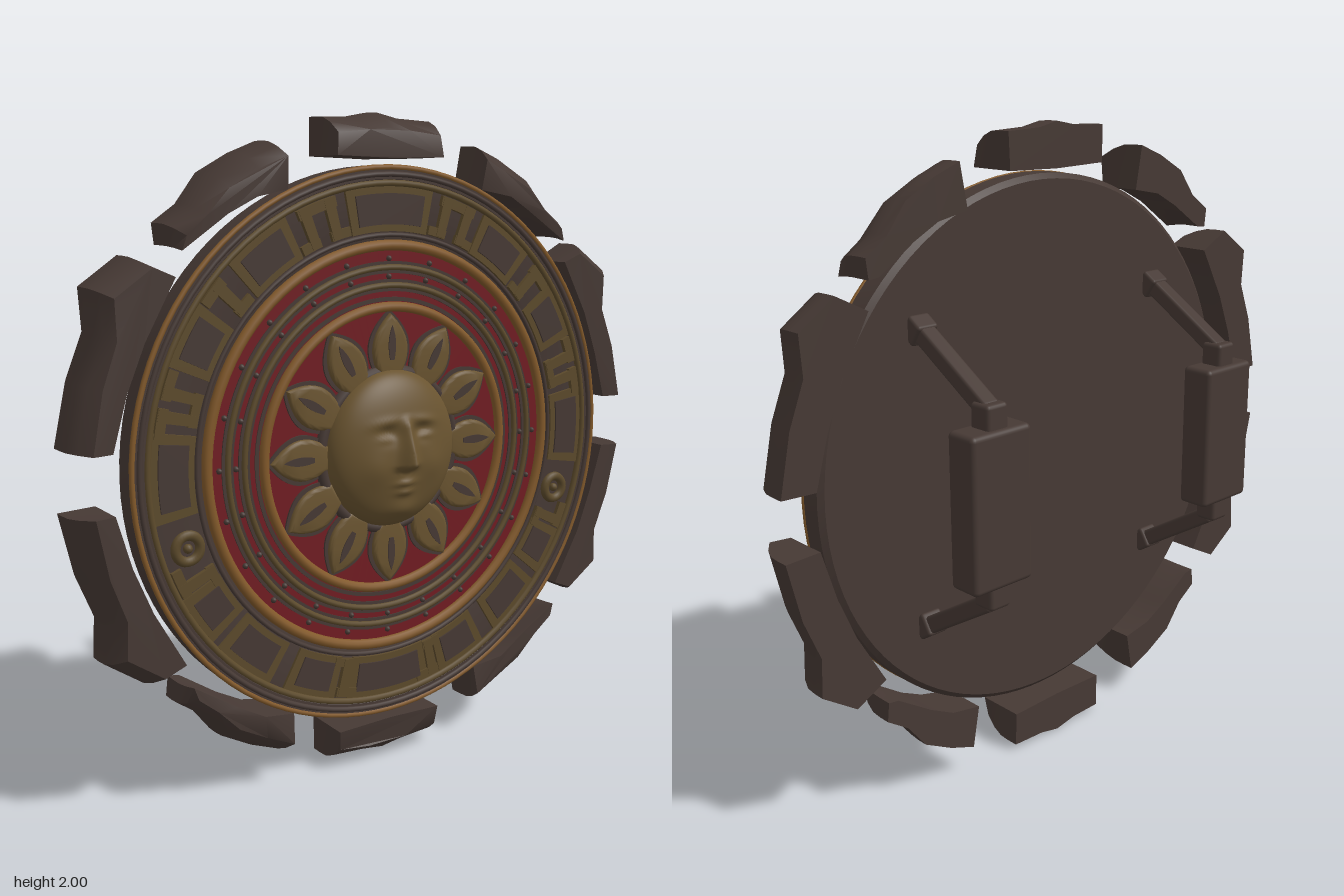
import * as THREE from 'three';
import { toCreasedNormals, mergeVertices } from 'three/addons/utils/BufferGeometryUtils.js';
import { RoundedBoxGeometry } from 'three/addons/geometries/RoundedBoxGeometry.js';

const mat = (name, color) => Object.assign(new THREE.MeshStandardMaterial({ color }), { name });
const clamp = THREE.MathUtils.clamp, rad = THREE.MathUtils.degToRad;

export function createModel() {
  const stone = mat('dark stone', 0x463934);
  const gold = mat('aged gold', 0x6a5430);
  const olive = mat('tarnished gold', 0x5c4a2b);
  const bright = mat('bright gold', 0x82592a);
  const red = mat('deep red', 0x701c22);

  const model = new THREE.Group();
  model.name = 'sunShield';
  const shield = new THREE.Group();
  shield.name = 'shield';
  shield.position.y = 1;
  model.add(shield);

  const add = (name, geo, material, parent = shield) => {
    const m = new THREE.Mesh(geo, material);
    m.name = name;
    parent.add(m);
    return m;
  };

  // Turned profile of [radius, z] points around the z axis
  const turned = (pts) => toCreasedNormals(
    new THREE.LatheGeometry(pts.map(([r, z]) => new THREE.Vector2(r, z)), 96).rotateX(Math.PI / 2), 0.5);
  const band = (name, r0, r1, z0, z1, m) =>
    add(name, turned([[r1, z0], [r1, z1], [r0, z1], [r0, z0]]), m);
  const hoop = (name, r, tube, z, m) =>
    add(name, new THREE.TorusGeometry(r, tube, 10, 96).translate(0, 0, z), m);

  // Curved slab covering part of a ring
  const arcSlab = (name, r0, r1, deg, half, z0, z1, m) => {
    const s = new THREE.Shape();
    s.absarc(0, 0, r1, rad(deg - half), rad(deg + half), false);
    s.absarc(0, 0, r0, rad(deg + half), rad(deg - half), true);
    const g = new THREE.ExtrudeGeometry(s, { depth: z1 - z0, bevelEnabled: false, curveSegments: 8 });
    return add(name, g.translate(0, 0, z0), m);
  };

  // Main disc
  add('disc', turned([[0, 0.058], [0.83, 0.058], [0.846, 0.072], [0.846, 0.135], [0.835, 0.146],
    [0.805, 0.146], [0.79, 0.134], [0.63, 0.134], [0.62, 0.13], [0.001, 0.13]]), stone);

  // Ring mouldings
  hoop('rimRing', 0.84, 0.008, 0.142, bright);
  hoop('outerFriezeRing', 0.795, 0.01, 0.142, olive);
  hoop('rimGroove', 0.82, 0.008, 0.147, stone);
  hoop('innerFriezeRing', 0.645, 0.007, 0.138, stone);
  hoop('outerSunRing', 0.615, 0.016, 0.139, bright);
  hoop('innerSunRing', 0.433, 0.015, 0.139, bright);
  band('redBand', 0.44, 0.605, 0.128, 0.135, red);
  band('redCentre', 0.2, 0.43, 0.128, 0.135, red);
  for (const r of [0.55, 0.497]) {
    band('ringShadow', r - 0.018, r + 0.018, 0.13, 0.139, stone);
    hoop('thinRing', r, 0.009, 0.14, olive);
  }
  band('redEdge', 0.45, 0.462, 0.13, 0.138, stone);

  // Small studs on the red band
  for (let i = 0; i < 24; i++) {
    const a = i * Math.PI / 12;
    for (const r of [0.576, 0.523]) {
      add('stud', new THREE.SphereGeometry(0.009, 8, 6)
        .translate(r * Math.cos(a), r * Math.sin(a), 0.137), stone);
    }
  }

  // Frieze: framed panels, [angle, half width], mirrored left to right
  const panel = (deg, half) => {
    arcSlab('panelFrame', 0.655, 0.785, deg, half, 0.13, 0.143, olive);
    arcSlab('panelInset', 0.675, 0.765, deg, half - 2.2, 0.14, 0.148, stone);
  };
  // Frieze: hooked uprights between the panels
  const hook = (deg, side) => {
    arcSlab('hookStem', 0.66, 0.78, deg, 1.3, 0.13, 0.148, olive);
    arcSlab('hookTop', 0.752, 0.782, deg + side * 1.5, 3.2, 0.13, 0.147, olive);
    arcSlab('hookFoot', 0.658, 0.685, deg - side * 1.2, 2.8, 0.13, 0.146, olive);
  };
  panel(90, 11.5);
  panel(270, 11.5);
  for (const s of [1, -1]) {
    const at = (d) => s > 0 ? d : 180 - d;
    [[55, 8], [30, 7], [0, 9.5], [-33, 6], [-49, 8], [-68, 7]].forEach(([d, h]) => panel(at(d), h));
    [74, 67.5, 42, 18, 13, -25, -77].forEach((d, i) => hook(at(d), i % 2 ? s : -s));
    const a = rad(at(-17));
    const x = 0.71 * Math.cos(a), y = 0.71 * Math.sin(a);
    add('roundel', new THREE.TorusGeometry(0.038, 0.015, 8, 28).translate(x, y, 0.138), olive);
    add('roundelBoss', new THREE.SphereGeometry(0.014, 12, 8).translate(x, y, 0.138), olive);
  }

  // Sun petals
  const leaf = (y0, y1, w) => {
    const s = new THREE.Shape(), h = y1 - y0;
    s.moveTo(-w * 0.55, y0);
    s.bezierCurveTo(-w * 1.2, y0 + h * 0.35, -w * 1.2, y0 + h * 0.65, 0, y1);
    s.bezierCurveTo(w * 1.2, y0 + h * 0.65, w * 1.2, y0 + h * 0.35, w * 0.55, y0);
    s.closePath();
    return s;
  };
  const petalGeo = toCreasedNormals(new THREE.ExtrudeGeometry(leaf(0.23, 0.405, 0.056), {
    depth: 0.008, bevelThickness: 0.01, bevelSize: 0.012, bevelOffset: -0.005, bevelSegments: 3, curveSegments: 10,
  }).translate(0, 0, 0.138), 0.9);
  const backGeo = new THREE.ExtrudeGeometry(leaf(0.22, 0.425, 0.076), { depth: 0.011, bevelEnabled: false })
    .translate(0, 0, 0.13);
  const slitGeo = new THREE.ExtrudeGeometry(leaf(0.275, 0.378, 0.013), { depth: 0.008, bevelEnabled: false })
    .translate(0, 0, 0.151);
  for (let i = 0; i < 12; i++) {
    const petal = new THREE.Group();
    petal.name = 'petal';
    petal.rotation.z = i * Math.PI / 6;
    add('petalBorder', backGeo, stone, petal);
    add('petalLeaf', petalGeo, gold, petal);
    add('petalSlit', slitGeo, stone, petal);
    shield.add(petal);
  }
  hoop('faceCollar', 0.242, 0.018, 0.137, stone);

  // Face: a dome with nose, brows, eye hollows, lips and chin raised by rule
  let face = new THREE.RingGeometry(0, 1, 80, 44);
  face.deleteAttribute('uv');
  face.deleteAttribute('normal');
  face = mergeVertices(face);
  const bump = (x, y, cx, cy, sx, sy) => Math.exp(-(((x - cx) / sx) ** 2) - ((y - cy) / sy) ** 2);
  const p = face.attributes.position;
  for (let i = 0; i < p.count; i++) {
    const len = Math.hypot(p.getX(i), p.getY(i));
    const k = len > 0 ? Math.sin(len * Math.PI / 2) / len : 0;
    const x = p.getX(i) * k * 0.23, y = p.getY(i) * k * 0.243 + 0.005;
    const dome = Math.max(0, Math.cos(len * Math.PI / 2)) ** 0.8;
    const ax = Math.abs(x), t = clamp((0.1 - y) / 0.13, 0, 1);
    const nose = (0.012 + 0.04 * t) * Math.exp(-((x / (0.016 + 0.014 * t)) ** 2))
      * clamp((y + 0.052) / 0.02, 0, 1) * clamp((0.12 - y) / 0.03, 0, 1);
    const detail = nose
      - 0.016 * bump(ax, y, 0.06, 0.065, 0.038, 0.026)
      + 0.008 * bump(ax, y, 0.07, 0.052, 0.03, 0.012)
      + 0.007 * bump(ax, y, 0.07, 0.105 - ax * 0.1, 0.05, 0.014)
      + 0.008 * bump(ax, y, 0.1, -0.04, 0.05, 0.05)
      + 0.012 * bump(x, y, 0, -0.088, 0.034, 0.01)
      + 0.012 * bump(x, y, 0, -0.116, 0.028, 0.011)
      + 0.012 * bump(x, y, 0, -0.175, 0.05, 0.03);
    p.setXYZ(i, x, y, 0.13 + 0.11 * dome + detail * Math.min(1, dome * 1.6));
  }
  face.computeVertexNormals();
  add('face', face, gold);

  // Rough rim stones: outlines around the disc, mirrored to all quarters
  const rimStone = (pts, sx, sy) => {
    const outline = pts.map(([x, y]) => new THREE.Vector2(x * sx, y * sy));
    const mid = outline.reduce((s, v) => s + v.length(), 0) / outline.length;
    const g = new THREE.ExtrudeGeometry(new THREE.Shape(outline), { depth: 0.15, steps: 4, bevelEnabled: false });
    const q = g.attributes.position;
    for (let i = 0; i < q.count; i++) {
      const x = q.getX(i), y = q.getY(i), z = q.getZ(i), r = Math.hypot(x, y);
      const t = clamp((z - 0.05) / 0.1, 0, 1) ** 2;
      const outer = clamp((r - mid + 0.03) / 0.08, 0, 1);
      const f = 1 - 0.05 * t * outer / r;
      q.setXYZ(i, x * f, y * f, z + t * 0.008 * Math.sin(Math.abs(x) * 31 + Math.abs(y) * 17));
    }
    g.computeVertexNormals();
    add('rimStone', toCreasedNormals(g, 0.75), stone);
  };
  const topStone = [[-0.19, 0.87], [0, 0.865], [0.185, 0.87], [0.19, 0.98], [0.07, 0.985], [0, 1], [-0.08, 0.985], [-0.19, 0.982]];
  const cornerStone = [[0.345, 0.775], [0.37, 0.91], [0.46, 0.875], [0.56, 0.82], [0.625, 0.735], [0.697, 0.685],
    [0.69, 0.625], [0.655, 0.63], [0.535, 0.71], [0.45, 0.755]];
  const sideStone = [[0.695, 0.545], [0.8, 0.6], [0.915, 0.52], [0.908, 0.4], [0.96, 0.27], [1, 0.09],
    [0.89, 0.085], [0.845, 0.24], [0.79, 0.375]];
  for (const sy of [1, -1]) {
    rimStone(topStone, 1, sy);
    for (const sx of [1, -1]) {
      rimStone(cornerStone, sx, sy);
      rimStone(sideStone, sx, sy);
    }
  }

  // Two handles on the back: grip block, collars and slanted arms
  const strut = (name, y0, z0, y1, z1, w, parent) => {
    const m = add(name, new RoundedBoxGeometry(w, w, Math.hypot(y1 - y0, z1 - z0), 2, 0.01), stone, parent);
    m.position.set(0, (y0 + y1) / 2, (z0 + z1) / 2);
    m.rotation.x = -Math.atan2(y1 - y0, z1 - z0);
  };
  for (const sx of [1, -1]) {
    const handle = new THREE.Group();
    handle.name = 'handle';
    handle.position.x = 0.488 * sx;
    add('grip', new RoundedBoxGeometry(0.215, 0.46, 0.108, 3, 0.016), stone, handle).position.set(0, 0.005, -0.239);
    for (const sy of [1, -1]) {
      add('collar', new RoundedBoxGeometry(0.075, 0.09, 0.075, 2, 0.012), stone, handle)
        .position.set(0, 0.005 + sy * 0.255, -0.238);
      strut('arm', sy * 0.28, -0.24, sy * 0.468, 0.065, 0.054, handle);
      strut('armFoot', sy * 0.438, 0.025, sy * 0.47, 0.075, 0.072, handle);
    }
    shield.add(handle);
  }
  return model;
}
